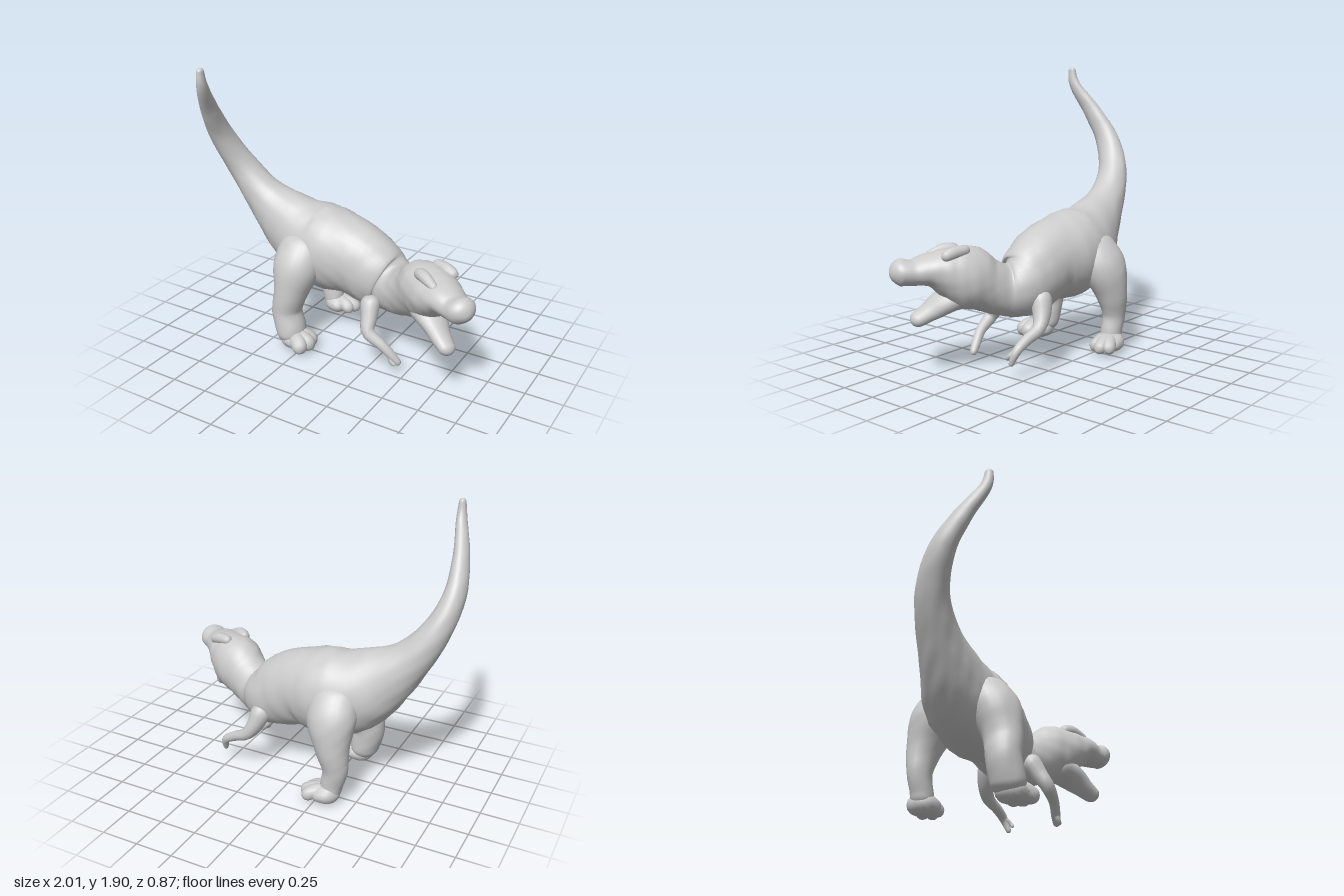
import * as THREE from 'three';

const material = new THREE.MeshStandardMaterial({ color: 0xcccccc, roughness: 0.8 });

// Smooth skin through oval sections [x, y, z, halfHeight, halfWidth], with rounded ends and light bumps
function loft(name, sections, rings = 32, sides = 24, bump = 0.012) {
  const centre = new THREE.CatmullRomCurve3(sections.map(s => new THREE.Vector3(s[0], s[1], s[2])), false, 'catmullrom');
  const radii = new THREE.CatmullRomCurve3(sections.map(s => new THREE.Vector3(s[3], s[4], 0)), false, 'catmullrom');
  const first = sections[0], last = sections[sections.length - 1];
  const start = centre.getPoint(0), end = centre.getPoint(1);
  const round = (p, q, r) => {
    const s = Math.min(p.distanceTo(q) / r, 1);
    return Math.max(Math.sqrt(1 - (1 - s) ** 2), 0.01);
  };
  const positions = [], index = [];
  for (let i = 0; i <= rings; i++) {
    const u = (1 - Math.cos(Math.PI * i / rings)) / 2;
    const c = centre.getPoint(u), r = radii.getPoint(u), t = centre.getTangent(u);
    const side = new THREE.Vector3(0, 0, 1).addScaledVector(t, -t.z).normalize();
    const up = side.clone().cross(t);
    const cap = round(c, start, Math.min(first[3], first[4])) * round(c, end, Math.min(last[3], last[4]));
    for (let j = 0; j < sides; j++) {
      const a = j / sides * Math.PI * 2;
      const p = c.clone().addScaledVector(side, Math.cos(a) * r.y * cap).addScaledVector(up, Math.sin(a) * r.x * cap);
      const n = Math.sin(p.x * 37 + p.y * 23) * Math.sin(p.y * 41 - p.z * 29) + 0.6 * Math.sin(p.z * 61 + p.x * 53);
      p.sub(c).multiplyScalar(1 + bump * n).add(c);
      positions.push(p.x, p.y, p.z);
      if (i < rings) {
        const k = i * sides + j, l = i * sides + (j + 1) % sides;
        index.push(k, k + sides, l, l, k + sides, l + sides);
      }
    }
  }
  const geometry = new THREE.BufferGeometry();
  geometry.setAttribute('position', new THREE.Float32BufferAttribute(positions, 3));
  geometry.setIndex(index);
  geometry.computeVertexNormals();
  const mesh = new THREE.Mesh(geometry, material);
  mesh.name = name;
  return mesh;
}

// Limb of round sections [x, y, z, radius]
const limb = (name, points, rings = 24, sides = 12) =>
  loft(name, points.map(p => [p[0], p[1], p[2], p[3], p[3]]), rings, sides);

// Heel pad with toes that end at the given [x, z] points
function foot(name, x, z, toes, radius) {
  const group = new THREE.Group();
  group.name = name;
  group.add(loft('footPad', [[x - 0.07, 0.07, z, 0.065, 0.08], [x + 0.02, 0.07, z, 0.07, 0.1], [x + 0.11, 0.055, z, 0.05, 0.1]], 16, 16));
  toes.forEach(([tx, tz]) => group.add(limb('toe', [
    [x, 0.09, z, radius],
    [(x + tx) / 2 + 0.02, 0.075, (z + tz) / 2, radius],
    [tx, 0.037, tz, radius * 0.75],
  ], 14)));
  return group;
}

export function createModel() {
  const model = new THREE.Group();
  model.name = 'dinosaur';

  // Tail, trunk, neck and upper head in one skin
  model.add(loft('body', [
    [-0.86, 1.9, 0.415, 0.02, 0.025],
    [-0.87, 1.77, 0.39, 0.034, 0.042],
    [-0.92, 1.58, 0.27, 0.05, 0.066],
    [-0.935, 1.37, 0.14, 0.07, 0.088],
    [-0.86, 1.15, 0.04, 0.095, 0.105],
    [-0.715, 0.95, 0, 0.14, 0.13],
    [-0.54, 0.8, -0.02, 0.22, 0.18],
    [-0.36, 0.69, -0.04, 0.28, 0.24],
    [-0.18, 0.65, -0.04, 0.29, 0.26],
    [0, 0.63, -0.03, 0.26, 0.225],
    [0.15, 0.56, -0.03, 0.24, 0.205],
    [0.26, 0.51, -0.03, 0.2, 0.175],
    [0.36, 0.5, 0.02, 0.165, 0.14],
    [0.48, 0.55, 0.07, 0.17, 0.145],
    [0.59, 0.61, 0.12, 0.195, 0.165],
    [0.69, 0.65, 0.19, 0.155, 0.16],
    [0.78, 0.67, 0.25, 0.105, 0.135],
    [0.87, 0.66, 0.3, 0.08, 0.105],
    [0.94, 0.665, 0.34, 0.083, 0.095],
    [0.995, 0.66, 0.37, 0.075, 0.08],
  ], 150, 40));

  // Open lower jaw
  model.add(loft('lowerJaw', [
    [0.55, 0.53, 0.11, 0.1, 0.12],
    [0.68, 0.475, 0.2, 0.075, 0.11],
    [0.78, 0.4, 0.27, 0.055, 0.075],
    [0.87, 0.34, 0.325, 0.042, 0.052],
  ], 28, 20));

  // Brow ridges
  model.add(limb('leftBrow', [[0.57, 0.76, 0.2, 0.035], [0.64, 0.775, 0.25, 0.04], [0.75, 0.74, 0.31, 0.025]]));
  model.add(limb('rightBrow', [[0.62, 0.79, 0.07, 0.03], [0.72, 0.78, 0.1, 0.04], [0.8, 0.755, 0.12, 0.03]]));

  // Hind legs
  model.add(loft('leftLeg', [
    [-0.32, 0.78, 0.08, 0.14, 0.1],
    [-0.33, 0.58, 0.18, 0.165, 0.15],
    [-0.35, 0.4, 0.235, 0.115, 0.125],
    [-0.375, 0.26, 0.25, 0.1, 0.11],
    [-0.34, 0.13, 0.26, 0.1, 0.11],
    [-0.33, 0.03, 0.265, 0.085, 0.1],
  ], 44));
  model.add(foot('leftFoot', -0.33, 0.265, [[-0.17, 0.21], [-0.15, 0.29], [-0.19, 0.38]], 0.06));
  model.add(loft('rightLeg', [
    [-0.31, 0.78, -0.15, 0.14, 0.1],
    [-0.32, 0.58, -0.26, 0.165, 0.14],
    [-0.35, 0.4, -0.31, 0.115, 0.105],
    [-0.375, 0.25, -0.315, 0.085, 0.075],
    [-0.35, 0.13, -0.31, 0.075, 0.07],
    [-0.34, 0.04, -0.31, 0.07, 0.075],
  ], 44));
  model.add(foot('rightFoot', -0.34, -0.32, [[-0.18, -0.27], [-0.15, -0.34], [-0.19, -0.41]], 0.05));

  // Arms, each with a shoulder, elbow, wrist and two fingers
  model.add(limb('leftArm', [
    [0.2, 0.47, 0.12, 0.075], [0.23, 0.35, 0.19, 0.055], [0.25, 0.265, 0.24, 0.045],
    [0.35, 0.195, 0.235, 0.034], [0.42, 0.12, 0.215, 0.03], [0.465, 0.065, 0.2, 0.02],
  ]));
  model.add(limb('leftFinger', [[0.4, 0.14, 0.22, 0.02], [0.42, 0.09, 0.23, 0.018], [0.45, 0.07, 0.23, 0.012]], 10, 8));
  model.add(limb('rightArm', [
    [0.22, 0.5, -0.16, 0.08], [0.27, 0.36, -0.21, 0.058], [0.33, 0.28, -0.23, 0.042],
    [0.43, 0.23, -0.215, 0.034], [0.51, 0.175, -0.205, 0.028], [0.53, 0.085, -0.175, 0.015],
  ]));
  model.add(limb('rightFinger', [[0.5, 0.18, -0.2, 0.02], [0.53, 0.15, -0.17, 0.015], [0.53, 0.12, -0.145, 0.01]], 10, 8));

  return model;
}
